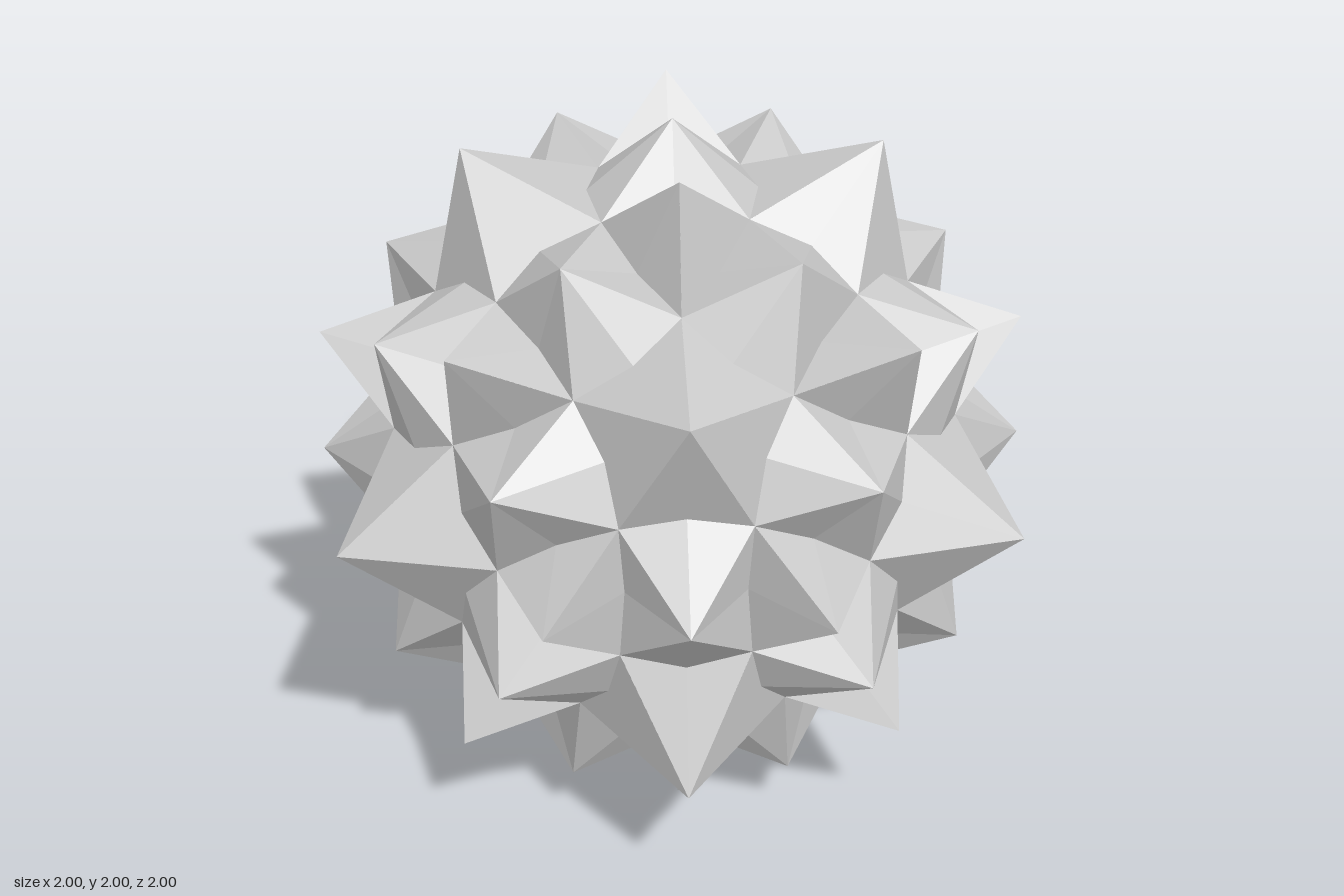
import * as THREE from 'three';

// Spiky ball with icosahedral symmetry: 12 five-sided, 20 three-sided and 30 four-sided spikes.
// All points are given around one two-fold axis (+z) and repeated over the 30 axes.
const PHI = (1 + Math.sqrt(5)) / 2;
const tip2 = new THREE.Vector3(0, 0, 1);
const tip5 = new THREE.Vector3(0, 1, PHI).setLength(1.087);
const tip3 = new THREE.Vector3(1 / PHI, 0, PHI).setLength(1.055);
const valley = new THREE.Vector3(0.176, 0.198, 0.78); // where three spikes meet
const mid25 = new THREE.Vector3(0, 0.234, 0.794); // between four- and five-sided spikes
const mid23 = new THREE.Vector3(0.162, 0, 0.775); // between four- and three-sided spikes

// The 30 rotations that carry +z to every two-fold axis
function axisRotations() {
  const list = [];
  const five = tip5.clone().normalize();
  const three = new THREE.Vector3(1, 1, 1).normalize();
  const xAxis = new THREE.Vector3(1, 0, 0);
  for (let k = 0; k < 5; k++)
    for (let i = 0; i < 3; i++)
      for (let j = 0; j < 2; j++) {
        const q = new THREE.Quaternion().setFromAxisAngle(five, (k * 2 * Math.PI) / 5);
        q.multiply(new THREE.Quaternion().setFromAxisAngle(three, (i * 2 * Math.PI) / 3));
        q.multiply(new THREE.Quaternion().setFromAxisAngle(xAxis, j * Math.PI));
        list.push(q);
      }
  return list;
}

// Repeats the given triangles over four mirrored quadrants and all rotations
function spikes(name, triangles, rotations, material) {
  const positions = [];
  for (const q of rotations)
    for (const sx of [1, -1])
      for (const sy of [1, -1])
        for (const triangle of triangles) {
          const [a, b, c] = triangle.map((p) =>
            new THREE.Vector3(p.x * sx, p.y * sy, p.z).applyQuaternion(q));
          // keep every face pointing outwards
          const outward = b.clone().cross(c).dot(a) > 0;
          for (const p of outward ? [a, b, c] : [a, c, b]) positions.push(p.x, p.y, p.z);
        }
  const geometry = new THREE.BufferGeometry();
  geometry.setAttribute('position', new THREE.Float32BufferAttribute(positions, 3));
  geometry.computeVertexNormals();
  const mesh = new THREE.Mesh(geometry, material);
  mesh.name = name;
  return mesh;
}

export function createModel() {
  const group = new THREE.Group();
  group.name = 'spikyBall';
  const material = new THREE.MeshStandardMaterial({ color: 0xcccccc, flatShading: true });
  const rotations = axisRotations();
  const ball = new THREE.Group();
  ball.name = 'spikes';
  ball.position.y = 1;
  ball.add(
    spikes('fiveSidedSpikes', [[tip5, valley, mid25]], rotations, material),
    spikes('threeSidedSpikes', [[tip3, valley, mid23]], rotations, material),
    spikes('fourSidedSpikes', [[tip2, valley, mid25], [tip2, valley, mid23]], rotations, material),
  );
  group.add(ball);
  return group;
}
